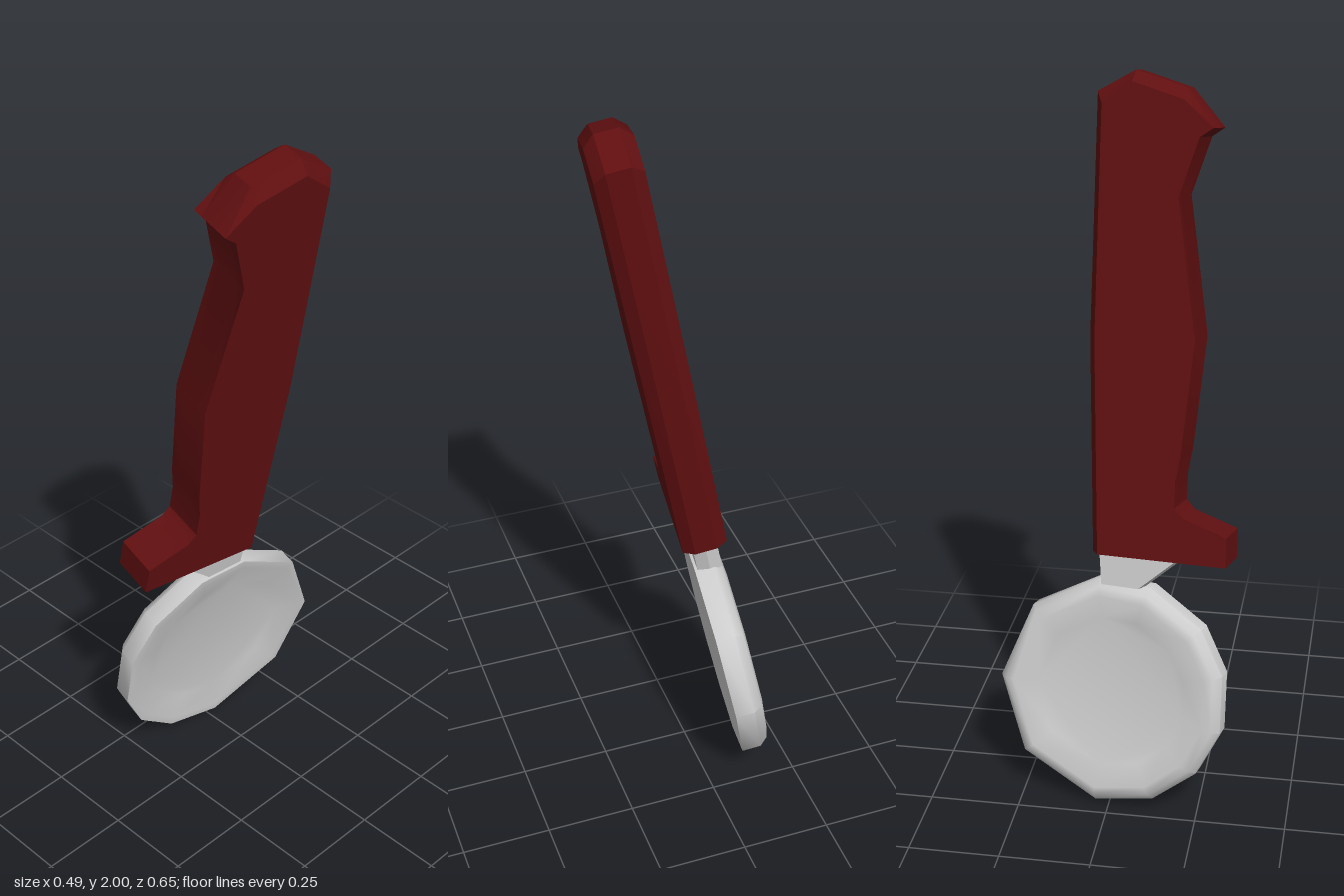
import * as THREE from 'three';
import { toCreasedNormals } from 'three/addons/utils/BufferGeometryUtils.js';

// Skins a list of layers [x, [[z, y], ...]] and closes both ends
function loft(layers, crease) {
  const count = layers[0][1].length;
  const pos = [];
  const index = [];
  for (const [x, pts] of layers) for (const [z, y] of pts) pos.push(x, y, z);
  for (let i = 0; i < layers.length - 1; i++) {
    for (let j = 0; j < count; j++) {
      const a = i * count + j;
      const b = i * count + ((j + 1) % count);
      index.push(a, b, b + count, a, b + count, a + count);
    }
  }
  const cap = (layer, flip) => {
    const contour = layers[layer][1].map(([z, y]) => new THREE.Vector2(y, z));
    const o = layer * count;
    for (const [a, b, c] of THREE.ShapeUtils.triangulateShape(contour, [])) {
      if (flip) index.push(o + a, o + c, o + b);
      else index.push(o + a, o + b, o + c);
    }
  };
  cap(0, true);
  cap(layers.length - 1, false);
  const geo = new THREE.BufferGeometry();
  geo.setAttribute('position', new THREE.Float32BufferAttribute(pos, 3));
  geo.setIndex(index);
  return toCreasedNormals(geo, crease);
}

export function createModel() {
  const red = new THREE.MeshStandardMaterial({ color: 0x600f10 });
  red.name = 'darkRed';
  const steel = new THREE.MeshStandardMaterial({ color: 0xcccccc });
  steel.name = 'steel';

  const tool = new THREE.Group();
  tool.name = 'tiltedTool';
  const add = (name, geo, mat) => {
    const mesh = new THREE.Mesh(geo, mat);
    mesh.name = name;
    tool.add(mesh);
  };

  // Handle with finger guard: [z, y] outline, back edge first
  const outline = [
    [-0.07, 0.4], [-0.112, 0.99], [-0.128, 1.635], [-0.027, 1.695], [0.114, 1.658],
    [0.197, 1.56], [0.163, 1.535], [0.117, 1.38], [0.187, 1.01], [0.168, 0.7],
    [0.158, 0.63], [0.16, 0.555], [0.185, 0.53], [0.308, 0.492], [0.312, 0.41],
  ];
  // Side faces are chamfered along the back and the top only
  const side = outline.map(([z, y], i) => [
    i < 3 ? z + 0.022 : z,
    i > 1 && i < 5 ? y - 0.03 : y,
  ]);
  add('handle', loft([[-0.064, side], [-0.032, outline], [0.032, outline], [0.064, side]], 0.55), red);

  // Neck tapering from the handle down to the disc
  const neck = (s) => [[-0.05 - s, 0.31], [-0.062 - s, 0.41], [0.185 + s, 0.41], [0.075 + s, 0.31]];
  add('neck', loft([[-0.035, neck(-0.01)], [0, neck(0)], [0.035, neck(-0.01)]], 0.4), steel);

  // Dished disc with uneven facets, rounded on one side and sharp on the other
  const angles = [-175, -131, -90, -48, -9, 17, 49, 74, 103, 128, 155].map(THREE.MathUtils.degToRad);
  const ring = (r) => angles.map((t) => [Math.sin(t) * r, Math.cos(t) * r]);
  const rim = [
    [-0.022, 0.215], [-0.043, 0.28], [-0.036, 0.305], [-0.012, 0.325],
    [0.043, 0.325], [0.043, 0.3], [0.022, 0.225],
  ];
  add('disc', loft(rim.map(([x, r]) => [x, ring(r)]), 0.78), steel);

  // Lean the whole tool sideways with a slight turn
  const n = new THREE.Vector3(0.97, -0.19, 0.145).normalize();
  const w = new THREE.Vector3(-0.145, 0, 0.97).normalize();
  const u = new THREE.Vector3().crossVectors(w, n);
  tool.quaternion.setFromRotationMatrix(new THREE.Matrix4().makeBasis(n, u, w));
  tool.position.set(-0.13, 0.333, 0);

  const model = new THREE.Group();
  model.name = 'handTool';
  model.add(tool);
  return model;
}
